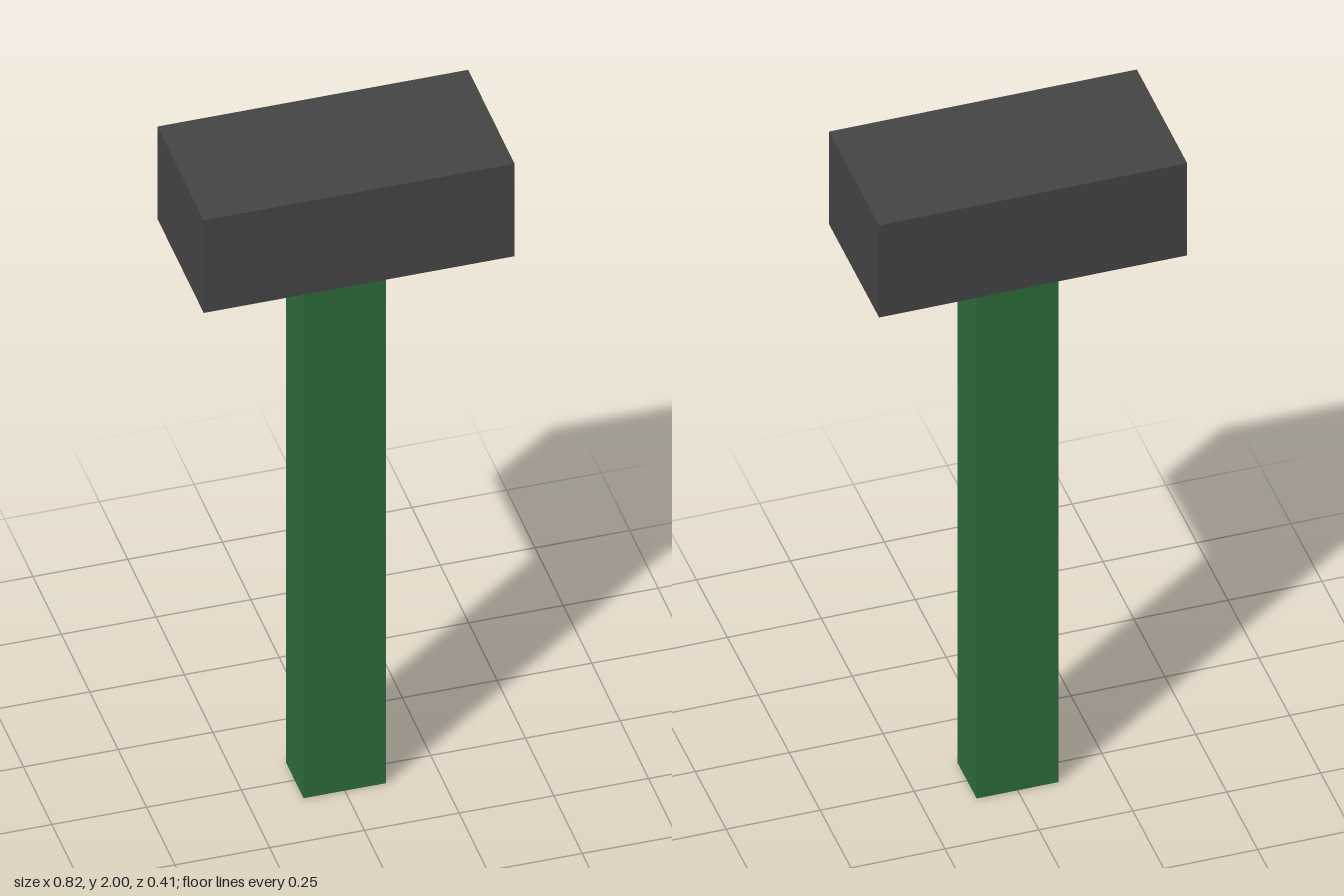
import * as THREE from 'three';

const headMetal = new THREE.MeshStandardMaterial({ name: 'dark grey', color: 0x444444 });
const gripGreen = new THREE.MeshStandardMaterial({ name: 'green', color: 0x2d6b3a });

// Box standing on height y
function block(name, material, width, height, depth, y) {
  const mesh = new THREE.Mesh(new THREE.BoxGeometry(width, height, depth), material);
  mesh.name = name;
  mesh.position.y = y + height / 2;
  return mesh;
}

export function createModel() {
  const hammer = new THREE.Group();
  hammer.name = 'hammer';
  const headBase = 1.705;

  // Handle runs up to the underside of the head
  hammer.add(block('handle', gripGreen, 0.218, headBase, 0.156, 0));
  // Rectangular striking head
  hammer.add(block('head', headMetal, 0.82, 2 - headBase, 0.407, headBase));

  return hammer;
}
